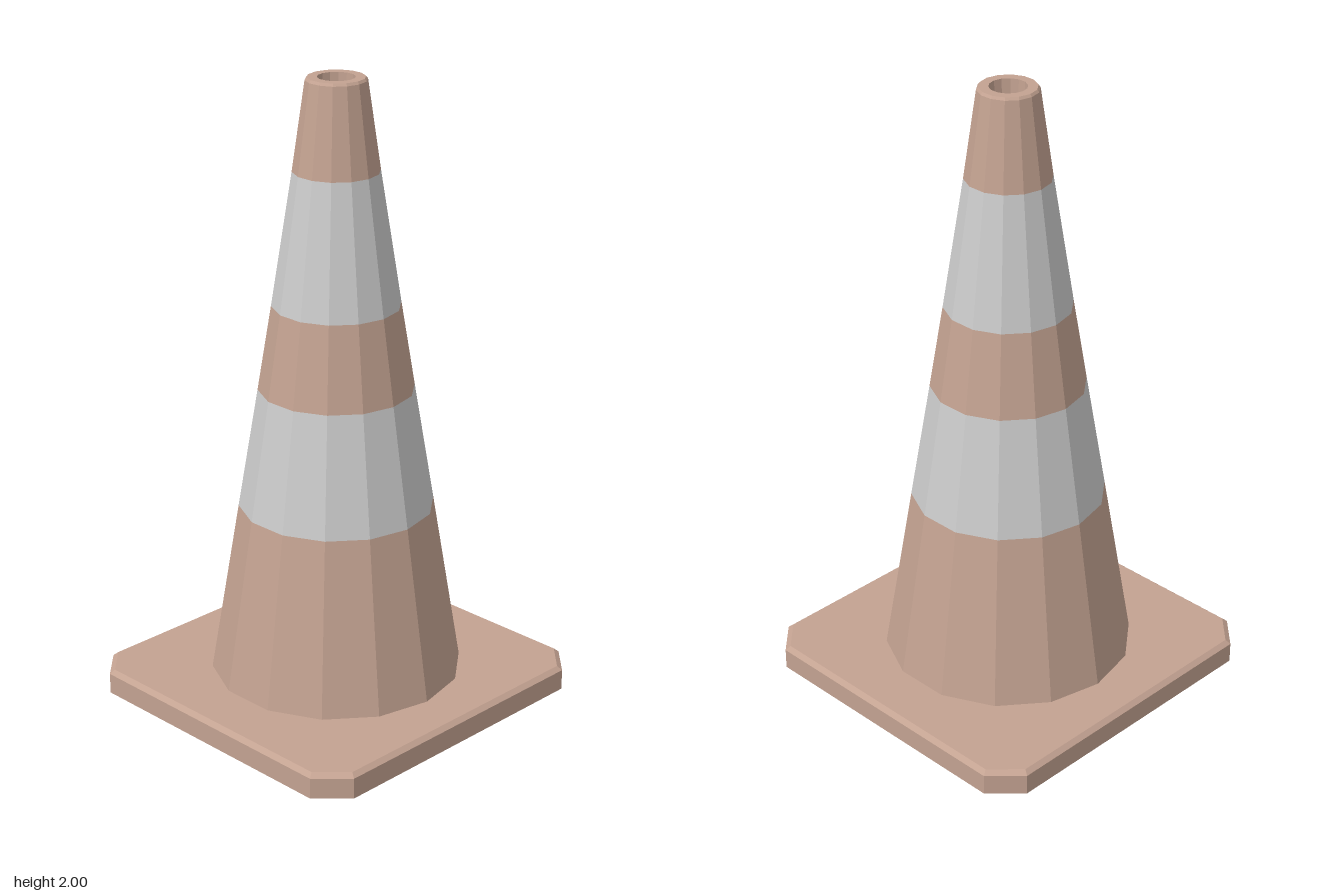
import * as THREE from 'three';

const SIDES = 14;
const brown = new THREE.MeshStandardMaterial({ color: 0xc3a291, flatShading: true });
const grey = new THREE.MeshStandardMaterial({ color: 0xcccccc, flatShading: true });

function addMesh(group, name, geometry, material) {
  const mesh = new THREE.Mesh(geometry, material);
  mesh.name = name;
  group.add(mesh);
}

// Faceted body of revolution with a corner on the x axis
function turned(profile) {
  const points = profile.map(([r, y]) => new THREE.Vector2(r, y));
  return new THREE.LatheGeometry(points, SIDES, Math.PI / 2);
}

// Rectangle with cut corners, counterclockwise seen from above
function cutCornerRing({ x, z, cut, y }) {
  return [
    [x, z - cut], [x, cut - z], [x - cut, -z], [cut - x, -z],
    [-x, cut - z], [-x, z - cut], [cut - x, z], [x - cut, z],
  ].map(([px, pz]) => [px, y, pz]);
}

// Skin successive rings with quads
function loft(rings) {
  const n = rings[0].length;
  const index = [];
  for (let k = 0; k < rings.length - 1; k++) {
    for (let i = 0; i < n; i++) {
      const a = k * n + i, b = k * n + (i + 1) % n;
      index.push(a, b, b + n, a, b + n, a + n);
    }
  }
  const geometry = new THREE.BufferGeometry();
  geometry.setAttribute('position', new THREE.Float32BufferAttribute(rings.flat(2), 3));
  geometry.setIndex(index);
  const flat = geometry.toNonIndexed();
  flat.computeVertexNormals();
  return flat;
}

export function createModel() {
  const group = new THREE.Group();
  group.name = 'trafficCone';

  // Base plate: recessed underside, straight rim, bevelled top edge
  const base = [
    { x: 0, z: 0, cut: 0, y: 0.045 },
    { x: 0.35, z: 0.36, cut: 0.057, y: 0.045 },
    { x: 0.35, z: 0.36, cut: 0.057, y: 0 },
    { x: 0.55, z: 0.568, cut: 0.092, y: 0 },
    { x: 0.55, z: 0.568, cut: 0.092, y: 0.067 },
    { x: 0.535, z: 0.553, cut: 0.085, y: 0.08 },
    { x: 0, z: 0, cut: 0, y: 0.08 },
  ];
  addMesh(group, 'basePlate', loft(base.map(cutCornerRing)), brown);

  // Tapering body in alternating bands
  const levels = [[0.4, 0.08], [0.308, 0.64], [0.244, 1.025], [0.2, 1.295], [0.134, 1.715]];
  const names = ['lowerBody', 'lowerStripe', 'middleBody', 'upperStripe'];
  names.forEach((name, i) => {
    addMesh(group, name, turned([levels[i], levels[i + 1]]), i % 2 ? grey : brown);
  });

  // Tip with a softened rim and a blind hole
  const tip = [levels[4], [0.094, 1.992], [0.088, 2], [0.058, 2], [0.053, 1.88], [0, 1.88]];
  addMesh(group, 'tip', turned(tip), brown);

  return group;
}
